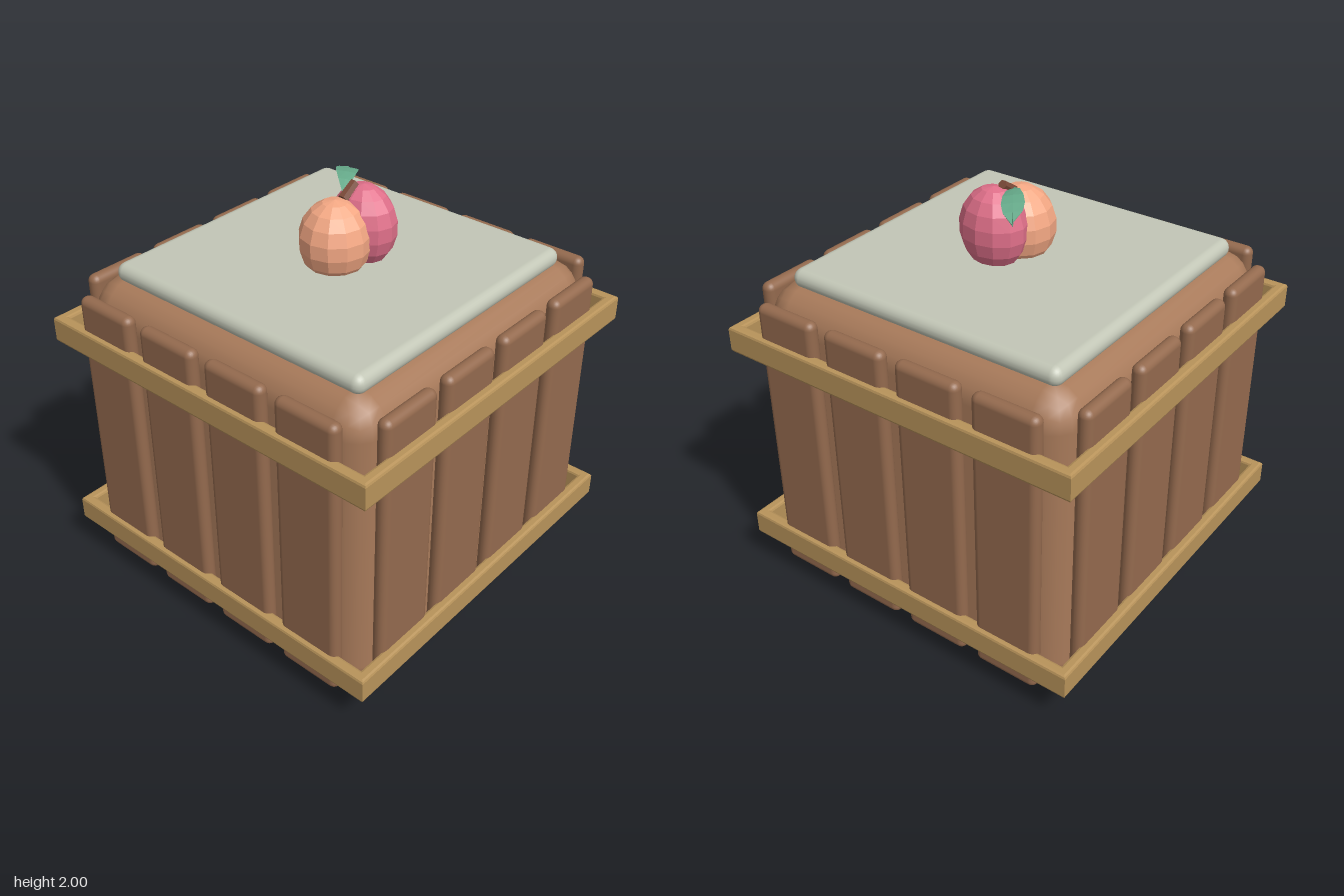
import * as THREE from 'three';
import { RoundedBoxGeometry } from 'three/addons/geometries/RoundedBoxGeometry.js';

const mat = (color, extra = {}) => new THREE.MeshStandardMaterial({ color, ...extra });
const WOOD = mat(0xa87a5a);
const PLANK = mat(0x946a4e);
const BAND = mat(0xb8935a);
const LID = mat(0xc2c6b6);
const ORANGE = mat(0xf4a884, { flatShading: true });
const PINK = mat(0xe0708a, { flatShading: true });
const STEM = mat(0x7a4a38, { flatShading: true });
const LEAF = mat(0x66aa8a, { flatShading: true, side: THREE.DoubleSide });

function add(parent, name, geometry, material, x = 0, y = 0, z = 0) {
  const mesh = new THREE.Mesh(geometry, material);
  mesh.name = name;
  mesh.position.set(x, y, z);
  parent.add(mesh);
  return mesh;
}

// Square hoop with softened edges, lying around the crate
function bandGeometry(outer, inner, height, bevel) {
  const square = (Type, h) => new Type([[-h, -h], [h, -h], [h, h], [-h, h]].map(([x, y]) => new THREE.Vector2(x, y)));
  const shape = square(THREE.Shape, outer - bevel);
  shape.holes.push(square(THREE.Path, inner + bevel));
  const geo = new THREE.ExtrudeGeometry(shape, {
    depth: height - 2 * bevel, bevelEnabled: true, bevelSize: bevel, bevelThickness: bevel, bevelSegments: 2,
  });
  geo.translate(0, 0, bevel - height / 2);
  return geo.rotateX(-Math.PI / 2);
}

// Leaf blade: four-cornered sections (edge, ridge, edge, keel) along an arched spine
function leafGeometry() {
  // distance along the leaf, height, half width
  const stations = [[0, 1.95, 0.006], [0.08, 1.98, 0.03], [0.15, 1.985, 0.045], [0.21, 1.975, 0.051], [0.26, 1.957, 0.042], [0.315, 1.932, 0.004]];
  const dir = new THREE.Vector2(0.81, -0.59);
  const pos = [], index = [];
  stations.forEach(([d, y, w]) => {
    const x = d * dir.x, z = 0.02 + d * dir.y;
    for (const [s, dy] of [[-1, 0], [0, -0.004], [1, -0.012], [0, -0.022]]) {
      pos.push(x - s * w * dir.y, y + dy, z + s * w * dir.x);
    }
  });
  for (let i = 0; i < stations.length - 1; i++) {
    for (let j = 0; j < 4; j++) {
      const a = i * 4 + j, b = i * 4 + (j + 1) % 4;
      index.push(a, b, b + 4, a, b + 4, a + 4);
    }
  }
  const e = pos.length / 3 - 4;
  index.push(0, 2, 1, 0, 3, 2, e, e + 1, e + 2, e, e + 2, e + 3);
  const geo = new THREE.BufferGeometry();
  geo.setAttribute('position', new THREE.Float32BufferAttribute(pos, 3));
  geo.setIndex(index);
  geo.computeVertexNormals();
  return geo;
}

export function createModel() {
  const model = new THREE.Group();
  model.name = 'fruitCrate';

  // Rounded core of the crate
  add(model, 'crateBody', new RoundedBoxGeometry(1.66, 1.57, 1.65, 2, 0.165), WOOD, 0, 0.785, 0);

  // Four planks on each of the four sides
  const plankGeo = new RoundedBoxGeometry(0.325, 1.435, 0.07, 3, 0.034);
  for (let side = 0; side < 4; side++) {
    const wall = new THREE.Group();
    wall.name = ['frontPlanks', 'leftPlanks', 'backPlanks', 'rightPlanks'][side];
    wall.rotation.y = side * Math.PI / 2;
    const out = side % 2 ? 0.868 : 0.853;
    for (let i = 0; i < 4; i++) add(wall, 'plank', plankGeo, PLANK, (i - 1.5) * 0.392, 0.8125, out);
    model.add(wall);
  }

  // Two hoops
  const bandGeo = bandGeometry(0.925, 0.873, 0.13, 0.013);
  add(model, 'lowerBand', bandGeo, BAND, 0, 0.24, 0);
  add(model, 'upperBand', bandGeo, BAND, 0, 1.303, 0);

  // Lid
  add(model, 'lid', new RoundedBoxGeometry(1.43, 0.094, 1.43, 3, 0.046), LID, 0, 1.588, 0);

  // Fruit made of two overlapping lobes
  const fruit = new THREE.Group();
  fruit.name = 'fruit';
  const lobeGeo = new THREE.SphereGeometry(1, 12, 9);
  add(fruit, 'orangeLobe', lobeGeo, ORANGE, -0.065, 1.75, 0.027).scale.set(0.165, 0.19, 0.165);
  const pink = add(fruit, 'pinkLobe', lobeGeo, PINK, 0.085, 1.78, 0.063);
  pink.scale.set(0.137, 0.195, 0.165);

  // Leaning stem
  const from = new THREE.Vector3(-0.015, 1.925, 0.03), to = new THREE.Vector3(0.06, 1.98, 0.033);
  const axis = to.clone().sub(from);
  const stem = add(fruit, 'stem', new THREE.CylinderGeometry(0.022, 0.026, axis.length(), 6), STEM);
  stem.position.copy(from).lerp(to, 0.5);
  stem.quaternion.setFromUnitVectors(new THREE.Vector3(0, 1, 0), axis.normalize());

  add(fruit, 'leaf', leafGeometry(), LEAF);
  model.add(fruit);
  return model;
}
